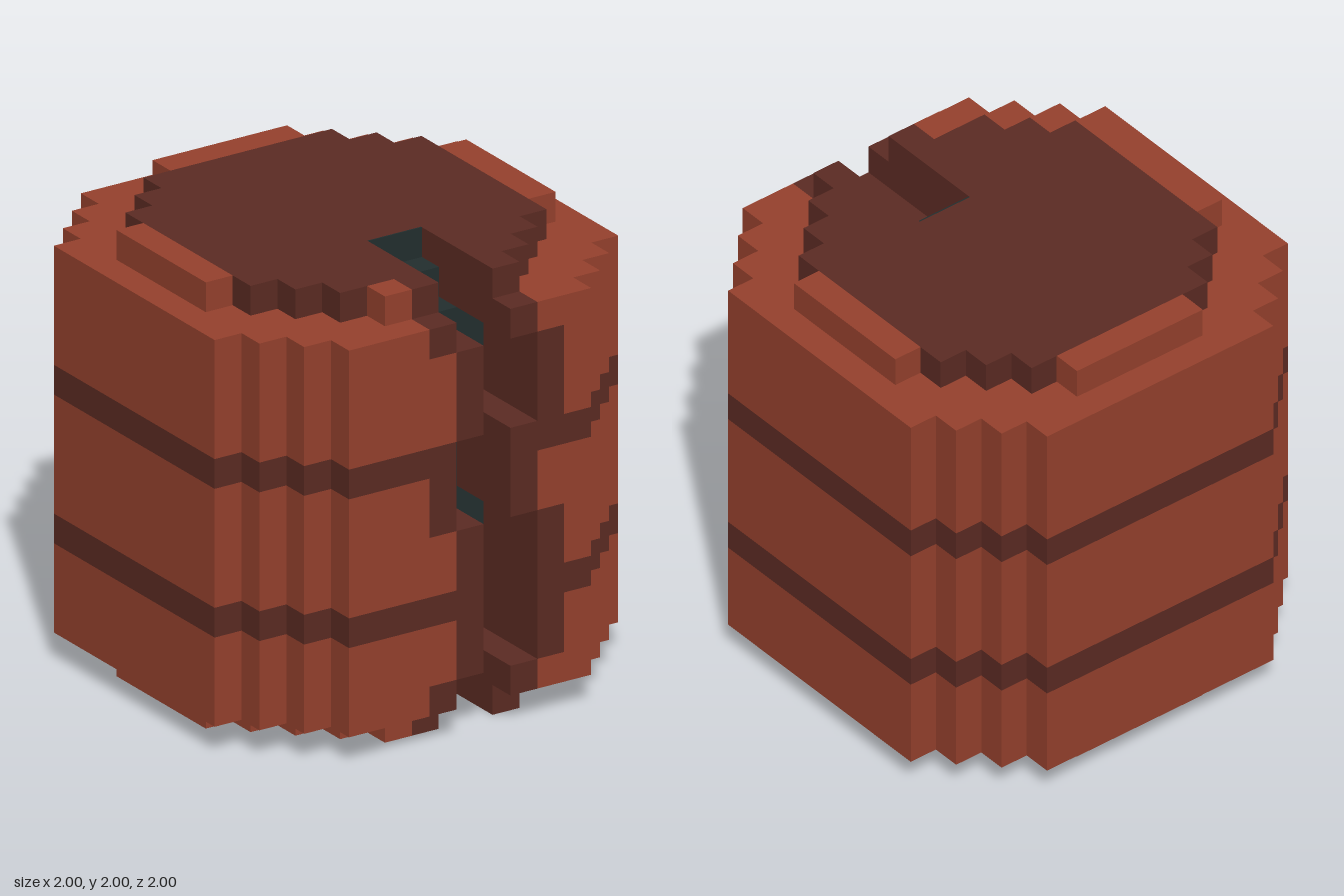
import * as THREE from 'three';

// Everything sits on a grid of 15 cells per side.
const U = 2 / 15;

const red = new THREE.MeshStandardMaterial({ color: 0x96412d });
red.name = 'red casing';
const dark = new THREE.MeshStandardMaterial({ color: 0x5c2b23 });
dark.name = 'dark brown trim';
const core = new THREE.MeshStandardMaterial({ color: 0x222e2e });
core.name = 'dark teal core';

// Stepped outlines, back to front: [zStart, zEnd, half width] in cells.
const BODY = [[0, 1, 4.5], [1, 2, 5.5], [2, 3, 6.5], [3, 12, 7.5], [12, 13, 6.5], [13, 14, 5.5], [14, 15, 4.5]];
const CAP = [[2, 3, 3.5], [3, 4, 4.5], [4, 11, 5.5], [11, 12, 4.5], [12, 13, 3.5]];
const NOTCH_BACK = 10;

// Body layers from bottom to top: [yStart, yEnd, crack shift, material].
const LAYERS = [
  [1, 2, 0, red], [2, 4, 1, red], [4, 5, 1, dark], [5, 7, 1, red],
  [7, 9, 0, red], [9, 10, 0, dark], [10, 13, 1, red], [13, 14, 0, red],
];

function box(group, name, mat, x0, x1, y0, y1, z0, z1) {
  const geo = new THREE.BoxGeometry((x1 - x0) * U, (y1 - y0) * U, (z1 - z0) * U);
  const mesh = new THREE.Mesh(geo, mat);
  mesh.position.set((x0 + x1 - 15) / 2 * U, (y0 + y1) / 2 * U, (z0 + z1 - 15) / 2 * U);
  mesh.name = name;
  group.add(mesh);
}

// Slab with a stepped round outline and a notch cut into its front.
function slab(group, name, mat, rows, y0, y1, n0, n1) {
  const front = rows[rows.length - 1][1];
  const pts = [];
  for (const [z0, z1, h] of rows) pts.push([h, z0], [h, z1]);
  pts.push([n1 - 7.5, front], [n1 - 7.5, NOTCH_BACK], [n0 - 7.5, NOTCH_BACK], [n0 - 7.5, front]);
  for (const [z0, z1, h] of [...rows].reverse()) pts.push([-h, z1], [-h, z0]);
  const shape = new THREE.Shape(pts.map(([x, z]) => new THREE.Vector2(x * U, (7.5 - z) * U)));
  const geo = new THREE.ExtrudeGeometry(shape, { depth: (y1 - y0) * U, bevelEnabled: false });
  geo.rotateX(-Math.PI / 2);
  const mesh = new THREE.Mesh(geo, mat);
  mesh.position.y = y0 * U;
  mesh.name = name;
  group.add(mesh);
}

// Dark strips lining both sides of the crack.
function crackWalls(group, a, b, y0, y1, z0, z1) {
  box(group, 'crackWallRight', dark, a - 1, a, y0, y1, z0, z1);
  box(group, 'crackWallLeft', dark, b, b + 1, y0, y1, z0, z1);
}

export function createModel() {
  const model = new THREE.Group();
  model.name = 'crackedBarrel';

  // Barrel body, with the zigzag crack and the core behind it
  const body = new THREE.Group();
  body.name = 'body';
  for (const [y0, y1, shift, mat] of LAYERS) {
    const a = 7 + shift, b = 9 + shift;
    const depth = y0 === 1 || y0 === 13 ? 11 : 12;
    slab(body, mat === dark ? 'darkBand' : 'casing', mat, BODY, y0, y1, a - 1, b + 1);
    box(body, 'core', core, a - 1, b + 1, y0, y1, NOTCH_BACK, depth);
    crackWalls(body, a, b, y0, y1, depth, 15);
  }
  model.add(body);

  // Bottom and top caps, each with raised rim pieces
  for (const [name, y, mat] of [['bottomCap', 0, red], ['topCap', 14, dark]]) {
    const cap = new THREE.Group();
    cap.name = name;
    slab(cap, 'capDisc', mat, CAP, y, y + 1, 6, 10);
    box(cap, 'rimBack', red, 5, 10, y, y + 1, 1, 2);
    box(cap, 'rimFront', red, 5, 6, y, y + 1, 13, 14);
    box(cap, 'rimRight', red, 1, 2, y, y + 1, 5, 10);
    box(cap, 'rimLeft', red, 13, 14, y, y + 1, 5, 10);
    crackWalls(cap, 7, 9, y, y + 1, NOTCH_BACK, 14);
    box(cap, 'corePlate', core, 7, 9, y, y + 1, NOTCH_BACK, NOTCH_BACK + 0.05);
    model.add(cap);
  }
  return model;
}
